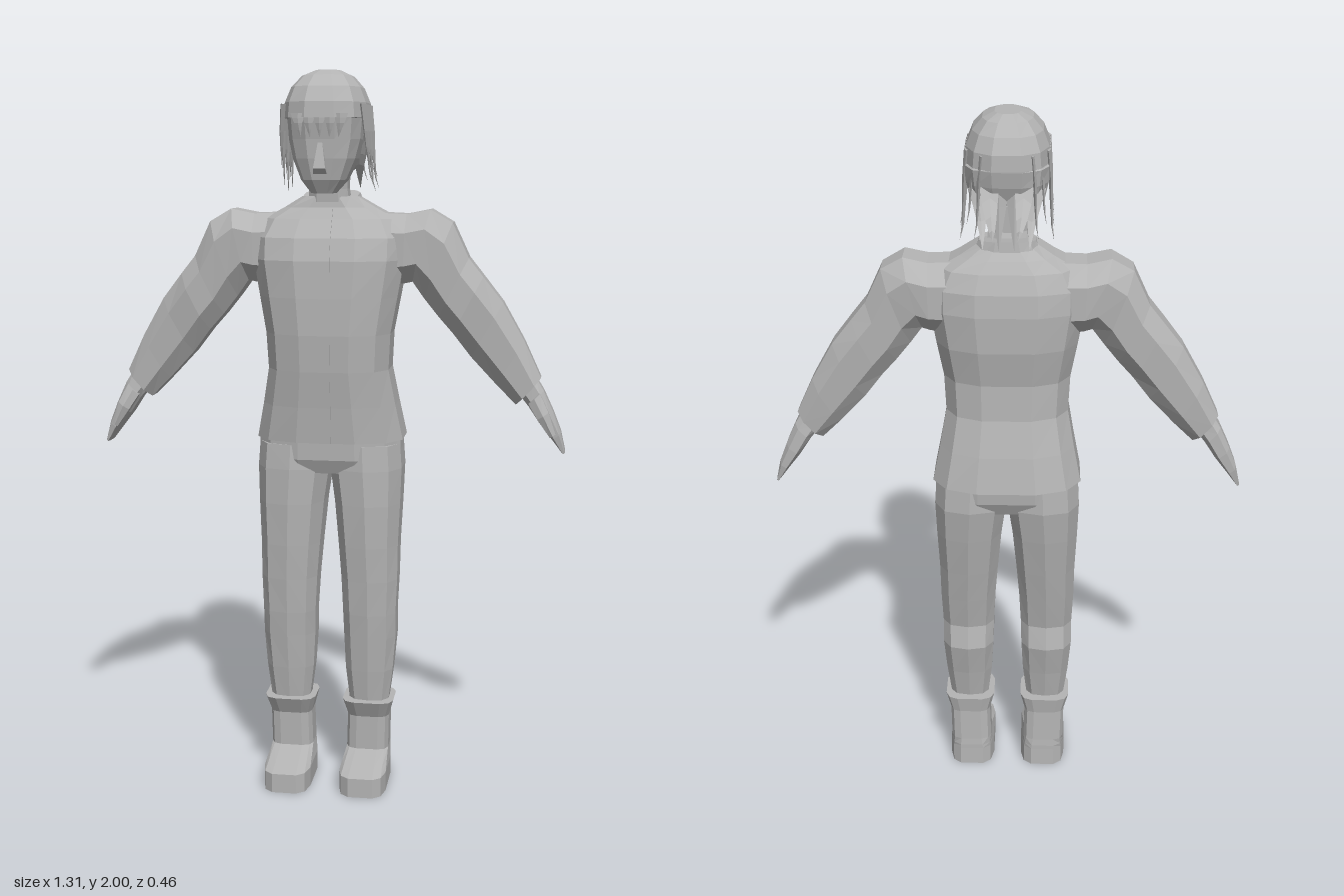
import * as THREE from 'three';

const grey = new THREE.MeshStandardMaterial({ color: 0xb4b4b4, flatShading: true });
grey.name = 'plain grey';

// Skin a list of equal-length point rings, close both ends and face outwards
function skin(rings) {
  const n = rings[0].length, pos = rings.flat(2), tris = [];
  for (let r = 0; r < rings.length - 1; r++)
    for (let i = 0; i < n; i++) {
      const a = r * n + i, b = r * n + (i + 1) % n;
      tris.push([a, b, a + n], [b, b + n, a + n]);
    }
  const last = (rings.length - 1) * n;
  for (let i = 1; i < n - 1; i++) tris.push([0, i + 1, i], [last, last + i, last + i + 1]);
  const P = (i) => new THREE.Vector3().fromArray(pos, i * 3);
  const volume = tris.reduce((s, [a, b, c]) => s + P(a).dot(P(b).cross(P(c))), 0);
  if (volume < 0) tris.forEach((t) => t.reverse());
  const geo = new THREE.BufferGeometry();
  geo.setAttribute('position', new THREE.Float32BufferAttribute(pos, 3));
  geo.setIndex(tris.flat());
  const flat = geo.toNonIndexed();
  flat.computeVertexNormals();
  return flat;
}

// Each section: [x1, y1, x2, y2, zFront, zBack]; rounded outline between the two points
function loft(sections, { n = 12, e = 0.7, s = 1, tilt = 0 } = {}) {
  const soft = (v) => Math.sign(v) * Math.abs(v) ** e;
  return skin(sections.map(([x1, y1, x2, y2, zf, zb]) =>
    Array.from({ length: n }, (_, i) => {
      const a = ((i + 0.5) / n) * Math.PI * 2;
      const k = Math.cos(Math.PI / n);
      const t = (1 + soft(Math.cos(a)) / soft(k)) / 2;
      const maxSin = n % 4 === 0 ? k : 1;
      const z = (zf + zb) / 2 + ((zf - zb) / 2) * soft(Math.sin(a)) / soft(maxSin);
      return [s * (x1 + (x2 - x1) * t), y1 + (y2 - y1) * t - tilt * z, z];
    })));
}

// Level sections from [y, halfWidth, zFront, zBack]
const level = (rows) => rows.map(([y, w, zf, zb]) => [-w, y, w, y, zf, zb]);
// Level sections off centre from [y, xInner, xOuter, zFront, zBack]
const limb = (rows) => rows.map(([y, a, b, zf, zb]) => [a, y, b, y, zf, zb]);

// Tapering hair lock along points; u and v are the half-width directions
function lock(points, u, v) {
  const curve = new THREE.CatmullRomCurve3(points.map((p) => new THREE.Vector3(...p)));
  return skin([0, 0.25, 0.5, 0.75, 1].map((t) => {
    const c = curve.getPoint(t).toArray(), f = 1.03 - t;
    return [[1, 0], [0, 1], [-1, 0], [0, -1]].map(([a, b]) =>
      c.map((value, k) => value + f * (a * u[k] + b * v[k])));
  }));
}

export function createModel() {
  const model = new THREE.Group();
  const add = (name, geo) => {
    const mesh = new THREE.Mesh(geo, grey);
    mesh.name = name;
    model.add(mesh);
  };

  // Jacket with flared hem, narrow waist and sloping shoulders
  const torso = [
    [1.0, 0.205, 0.13, -0.165], [1.1, 0.185, 0.14, -0.145], [1.2, 0.167, 0.153, -0.12],
    [1.3, 0.172, 0.16, -0.115], [1.4, 0.19, 0.16, -0.132], [1.5, 0.207, 0.157, -0.135],
    [1.56, 0.207, 0.14, -0.128], [1.61, 0.18, 0.108, -0.11], [1.64, 0.125, 0.09, -0.09],
    [1.67, 0.075, 0.085, -0.065],
  ];
  add('jacket', loft(level(torso)));
  add('zipStrip', loft(level(torso.slice(0, 9).map(([y, , zf]) => [y, 0.016, zf + 0.004, zf - 0.02])), { n: 4, e: 1 }));
  add('collar', loft(level([[1.64, 0.09, 0.088, -0.075], [1.675, 0.075, 0.08, -0.07]]), { tilt: 0.15 }));
  add('pelvis', loft(level([[0.91, 0.19, 0.1, -0.11], [0.95, 0.2, 0.118, -0.13], [1.01, 0.198, 0.12, -0.135]])));

  // Neck and head
  add('neck', loft(level([[1.62, 0.06, 0.085, -0.03], [1.69, 0.052, 0.09, 0], [1.76, 0.055, 0.1, 0]]), { n: 8 }));
  add('head', loft(level([
    [1.68, 0.032, 0.178, 0.11], [1.715, 0.06, 0.198, 0.05], [1.77, 0.083, 0.208, 0],
    [1.82, 0.095, 0.212, -0.04], [1.88, 0.1, 0.222, -0.07], [1.94, 0.08, 0.19, -0.06],
  ])));
  add('nose', loft(level([[1.73, 0.018, 0.212, 0.18], [1.745, 0.016, 0.228, 0.18], [1.81, 0.006, 0.212, 0.19]]), { n: 4, e: 1 }));

  // Hair: crown shell, fringe, side locks and back spikes
  add('hairCrown', loft(level([
    [1.78, 0.095, 0.09, -0.06], [1.83, 0.107, 0.13, -0.08], [1.872, 0.112, 0.16, -0.088],
    [1.875, 0.112, 0.23, -0.088], [1.915, 0.108, 0.226, -0.085], [1.955, 0.092, 0.205, -0.065],
    [1.985, 0.066, 0.165, -0.035], [2.0, 0.034, 0.115, 0.0],
  ]), { e: 0.8 }));
  for (const x of [-0.055, -0.028, 0, 0.028, 0.055])
    add('fringe', lock([[x, 1.885, 0.222], [x, 1.86, 0.224], [x * 0.9, 1.825, 0.217]], [0.02, 0, 0], [0, 0, 0.006]));

  for (const s of [1, -1]) {
    const side = s > 0 ? 'left' : 'right';

    for (let i = 0; i < 8; i++) {
      const z = 0.155 - i * 0.031, drop = [1.74, 1.70, 1.73, 1.68, 1.72, 1.69, 1.74, 1.71][i];
      const x = 0.105 - 0.02 * Math.max(0, i - 5);
      add(side + 'HairLock', lock([
        [s * x, 1.91, z + 0.01], [s * (x + 0.008), 1.82, z - 0.005],
        [s * (x + 0.01), drop + 0.04, z - 0.025], [s * (x + 0.017), drop, z - 0.06],
      ], [0, 0, 0.025], [s * 0.007, 0, 0]));
    }
    add(side + 'BackSpike', lock([[s * 0.045, 1.84, -0.06], [s * 0.042, 1.78, -0.1], [s * 0.036, 1.745, -0.15], [s * 0.032, 1.742, -0.23]],
      [0.026, 0, 0], [0, 0.016, 0.012]));
    add(side + 'NapeSpike', lock([[s * 0.075, 1.82, -0.04], [s * 0.065, 1.75, -0.08], [s * 0.06, 1.69, -0.14]],
      [0.024, 0, 0], [0, 0.008, 0.012]));
    add(side + 'NapeLock', lock([[s * 0.02, 1.82, -0.06], [s * 0.02, 1.74, -0.075], [s * 0.02, 1.67, -0.09]],
      [0.024, 0, 0], [0, 0, 0.012]));

    // Sleeve from shoulder to cuff
    add(side + 'Sleeve', loft([
      [0.14, 1.625, 0.16, 1.43, 0.09, -0.1], [0.21, 1.622, 0.205, 1.435, 0.092, -0.1],
      [0.275, 1.635, 0.228, 1.44, 0.09, -0.092], [0.335, 1.6, 0.26, 1.395, 0.085, -0.08],
      [0.38, 1.505, 0.3, 1.345, 0.08, -0.077], [0.42, 1.455, 0.34, 1.3, 0.08, -0.075],
      [0.475, 1.385, 0.39, 1.235, 0.066, -0.068], [0.535, 1.28, 0.46, 1.16, 0.058, -0.06],
      [0.582, 1.18, 0.515, 1.105, 0.055, -0.05],
    ], { n: 8, e: 0.85, s }));

    // Mitten-like hand and thumb
    add(side + 'Hand', loft([
      [0.565, 1.185, 0.525, 1.13, 0.035, -0.035], [0.59, 1.145, 0.55, 1.1, 0.045, -0.045],
      [0.618, 1.085, 0.58, 1.055, 0.048, -0.05], [0.64, 1.03, 0.615, 1.01, 0.045, -0.048],
      [0.653, 0.975, 0.645, 0.97, 0.036, -0.038],
    ], { n: 8, s }));
    add(side + 'Thumb', loft([
      [0.58, 1.14, 0.55, 1.11, 0.055, 0.02], [0.605, 1.09, 0.575, 1.07, 0.07, 0.03],
      [0.625, 1.03, 0.61, 1.02, 0.066, 0.04],
    ], { n: 6, s }));

    // Trouser leg
    add(side + 'Leg', loft(limb([
      [0.22, 0.06, 0.168, 0.068, -0.025], [0.33, 0.047, 0.182, 0.082, -0.045],
      [0.43, 0.042, 0.19, 0.093, -0.068], [0.5, 0.04, 0.19, 0.1, -0.055], [0.6, 0.035, 0.194, 0.108, -0.075],
      [0.7, 0.027, 0.195, 0.115, -0.095], [0.82, 0.016, 0.2, 0.12, -0.118],
      [0.92, 0.002, 0.203, 0.12, -0.134], [0.99, 0.002, 0.198, 0.115, -0.13],
    ]), { n: 10, e: 0.75, s }));

    // Boot with flared cuff and blunt toe
    add(side + 'Boot', loft(limb([
      [0, 0.042, 0.175, 0.2, -0.052], [0.055, 0.042, 0.175, 0.2, -0.05],
      [0.068, 0.045, 0.173, 0.15, -0.05], [0.09, 0.05, 0.17, 0.065, -0.048],
      [0.19, 0.053, 0.172, 0.068, -0.045], [0.24, 0.04, 0.186, 0.094, -0.052],
    ]), { n: 12, e: 0.5, s }));
  }
  return model;
}
